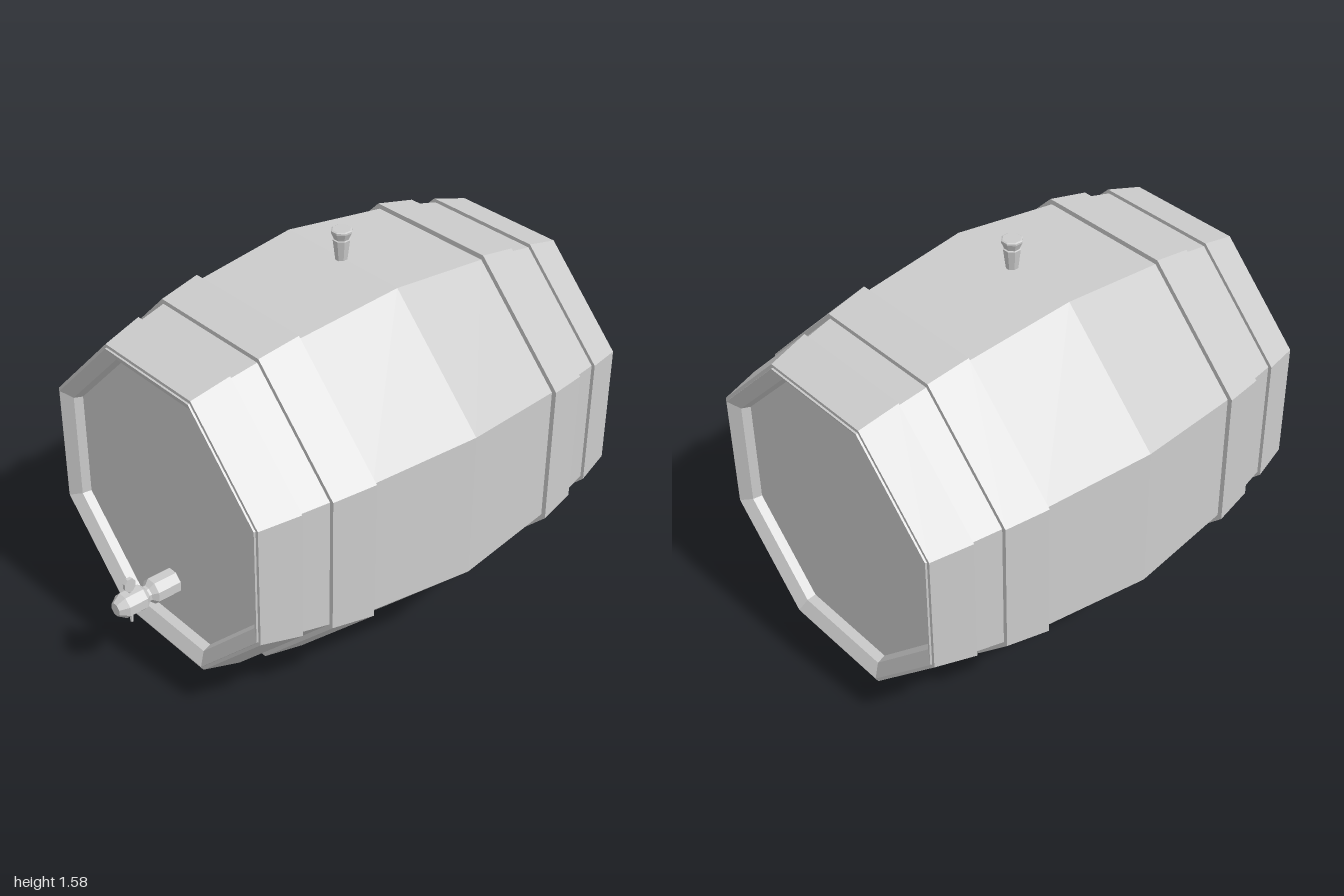
import * as THREE from 'three';

const material = new THREE.MeshStandardMaterial({ color: 0xcccccc, flatShading: true });
const SIDES = 8;
const CENTRE_Y = 0.735, CENTRE_Z = -0.1;

// Eight-sided turned part; profile is [distance to flat side, height], low to high.
function turned(name, profile, alongZ) {
  const points = profile.map(([r, h]) => new THREE.Vector2(r / Math.cos(Math.PI / SIDES), h));
  const geometry = new THREE.LatheGeometry(points, SIDES, Math.PI / SIDES);
  if (alongZ) geometry.rotateX(Math.PI / 2);
  const mesh = new THREE.Mesh(geometry, material);
  mesh.name = name;
  return mesh;
}

// Mirror one half of a profile about h = 0; the half runs from the middle to the end.
function mirrored(half) {
  const back = half.slice(1).reverse().map(([r, h]) => [r, -h]);
  return [...back, ...half];
}

export function createModel() {
  const model = new THREE.Group();
  model.name = 'barrel';

  const cask = new THREE.Group();
  cask.name = 'cask';
  cask.position.set(0, CENTRE_Y, CENTRE_Z);
  model.add(cask);

  // Staves, sloped rim and recessed heads in one skin
  cask.add(turned('stavesAndHeads', mirrored([
    [0.73, 0], [0.68, 0.45], [0.65, 0.62], [0.625, 0.735], [0.583, 0.9],
    [0.535, 0.87], [0.525, 0.835], [0, 0.835],
  ]), true));

  // Hoops: [inner distance, outer distance, distance from the middle] at both edges
  const hoops = [
    ['middleHoop', [0.675, 0.70, 0.45], [0.645, 0.667, 0.62]],
    ['endHoop', [0.62, 0.64, 0.735], [0.58, 0.597, 0.893]],
  ];
  for (const [name, near, far] of hoops) {
    const section = [
      [near[0], near[2]], [near[1], near[2]], [far[1], far[2]], [far[0], far[2]],
    ];
    cask.add(turned(name + 'Front', section, true));
    cask.add(turned(name + 'Back', section.map(([r, h]) => [r, -h]).reverse(), true));
  }

  // Bung on top
  const bung = turned('bung', [
    [0, 0], [0.022, 0], [0.032, 0.085], [0.027, 0.087], [0.03, 0.095],
    [0.038, 0.115], [0.038, 0.122], [0.033, 0.125], [0, 0.125],
  ], false);
  bung.position.set(0, 1.46, CENTRE_Z);
  model.add(bung);

  // Tap low on the front head
  const tap = new THREE.Group();
  tap.name = 'tap';
  tap.position.set(0, 0.385, 0);
  model.add(tap);
  tap.add(turned('spout', [
    [0, 0.73], [0.048, 0.73], [0.048, 0.835], [0.03, 0.855], [0.03, 0.865],
    [0.047, 0.885], [0.047, 0.965], [0.025, 1.0], [0, 1.0],
  ], true));

  // Turning key through the tap
  const key = new THREE.Group();
  key.name = 'key';
  key.position.z = 0.932;
  const stem = new THREE.Mesh(new THREE.CylinderGeometry(0.007, 0.007, 0.16, 6), material);
  stem.name = 'keyStem';
  stem.position.y = -0.01;
  const grip = new THREE.Mesh(new THREE.CylinderGeometry(0.028, 0.028, 0.014, 8), material);
  grip.name = 'keyGrip';
  grip.geometry.rotateY(Math.PI / 8).rotateZ(Math.PI / 2).scale(1, 1.1, 0.9);
  grip.position.y = 0.082;
  key.add(stem, grip);
  tap.add(key);

  return model;
}
